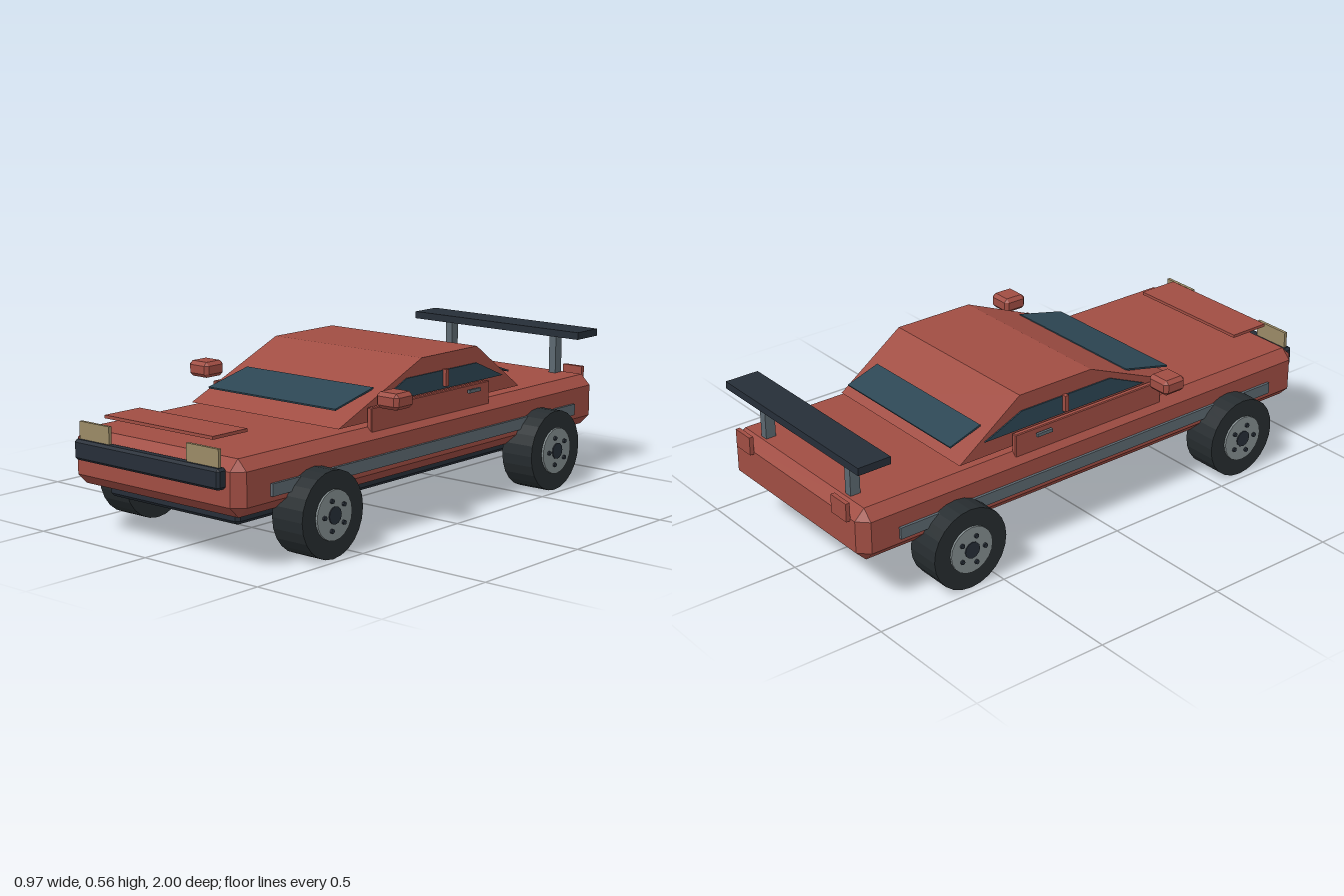
import * as THREE from 'three';
import { ConvexGeometry } from 'three/addons/geometries/ConvexGeometry.js';

const mat = (color) => new THREE.MeshStandardMaterial({ color, flatShading: true });

// Box with all twelve edges cut off at size c
function chamferBox(w, h, d, c) {
  const pts = [];
  for (const x of [-w / 2, w / 2])
    for (const y of [-h / 2, h / 2])
      for (const z of [-d / 2, d / 2]) {
        const ix = x - Math.sign(x) * c, iy = y - Math.sign(y) * c, iz = z - Math.sign(z) * c;
        pts.push(new THREE.Vector3(x, iy, iz), new THREE.Vector3(ix, y, iz), new THREE.Vector3(ix, iy, z));
      }
  return new ConvexGeometry(pts);
}

// Side profile given as [z, y] points, extruded across x and centred on x = 0
function sideProfile(points, width) {
  const shape = new THREE.Shape(points.map(([z, y]) => new THREE.Vector2(z, y)));
  const geo = new THREE.ExtrudeGeometry(shape, { depth: width, bevelEnabled: false });
  geo.translate(0, 0, -width / 2);
  return geo.rotateY(-Math.PI / 2);
}

export function createModel() {
  const car = new THREE.Group();
  car.name = 'car';
  const red = mat(0xa04d43), dark = mat(0x262e38), glass = mat(0x2d4654);
  const trim = mat(0x5c6870), rubber = mat(0x272d30), rim = mat(0x838d8f), lamp = mat(0x9a8a66);

  function add(name, geo, material, x = 0, y = 0, z = 0, parent = car) {
    const mesh = new THREE.Mesh(geo, material);
    mesh.name = name;
    mesh.position.set(x, y, z);
    parent.add(mesh);
    return mesh;
  }
  const box = (w, h, d) => new THREE.BoxGeometry(w, h, d);

  // Body and underside
  add('body', chamferBox(0.78, 0.19, 1.95, 0.037), red, 0, 0.275, -0.01);
  add('chassis', chamferBox(0.6, 0.07, 1.775, 0.012), dark, 0, 0.169, -0.01);

  // Cabin with sloping windscreens
  add('cabin', sideProfile([[0.44, 0.382], [0.005, 0.562], [-0.305, 0.562], [-0.558, 0.382]], 0.684), red);
  add('windshield', box(0.59, 0.006, 0.201), glass, 0, 0.457, 0.304).rotation.x = 0.226;
  add('rearWindow', box(0.59, 0.006, 0.133), glass, 0, 0.452, -0.497).rotation.x = -0.322;

  // Hood panel and front bumper
  add('hoodPanel', box(0.5, 0.011, 0.158), red, 0, 0.422, 0.855);
  add('frontBumper', chamferBox(0.67, 0.07, 0.042, 0.009), dark, 0, 0.31, 0.978);

  // Rear wing
  add('wing', box(0.78, 0.027, 0.126), dark, 0, 0.53, -0.926);

  // Parts found on both sides
  const windowGeo = sideProfile([[0.245, 0.437], [0.09, 0.503], [-0.3, 0.503], [-0.455, 0.437]], 0.012);
  const mirrorGeo = chamferBox(0.095, 0.056, 0.094, 0.013);
  for (const [side, s] of [['left', 1], ['right', -1]]) {
    add(side + 'SideWindow', windowGeo, glass, s * 0.341);
    add(side + 'DoorPillar', box(0.016, 0.06, 0.016), red, s * 0.353, 0.477, -0.115);
    add(side + 'Door', chamferBox(0.02, 0.086, 0.65, 0.003), red, s * 0.36, 0.393, -0.02);
    add(side + 'DoorHandle', box(0.01, 0.012, 0.066), trim, s * 0.387, 0.418, -0.235);
    add(side + 'SideStrip', box(0.02, 0.042, 1.66), trim, s * 0.39, 0.256, -0.01);
    add(side + 'Mirror', mirrorGeo, red, s * 0.4395, 0.469, 0.268);
    add(side + 'Headlight', box(0.142, 0.072, 0.012), lamp, s * 0.25, 0.369, 0.976);
    add(side + 'TailLight', box(0.085, 0.066, 0.016), red, s * 0.285, 0.358, -0.992);
    add(side + 'WingSupport', box(0.03, 0.16, 0.038), trim, s * 0.25, 0.441, -0.919);
  }

  // Wheels: tyre, rim disc, hub and five bolts, all turned to run along x
  const disc = (r, w, n) => new THREE.CylinderGeometry(r, r, w, n).rotateZ(Math.PI / 2);
  const tireGeo = disc(0.148, 0.13, 24), rimGeo = disc(0.085, 0.145, 20);
  const hubGeo = disc(0.03, 0.152, 12), boltGeo = disc(0.008, 0.16, 8);
  for (const [end, z] of [['front', 0.615], ['rear', -0.615]])
    for (const [side, x] of [['Left', 0.407], ['Right', -0.407]]) {
      const wheel = new THREE.Group();
      wheel.name = end + side + 'Wheel';
      wheel.position.set(x, 0.148, z);
      add('tire', tireGeo, rubber, 0, 0, 0, wheel);
      add('rim', rimGeo, rim, 0, 0, 0, wheel);
      add('hub', hubGeo, dark, 0, 0, 0, wheel);
      for (let i = 0; i < 5; i++) {
        const a = (i / 5) * Math.PI * 2;
        add('bolt', boltGeo, dark, 0, 0.052 * Math.sin(a), 0.052 * Math.cos(a), wheel);
      }
      car.add(wheel);
    }
  return car;
}
